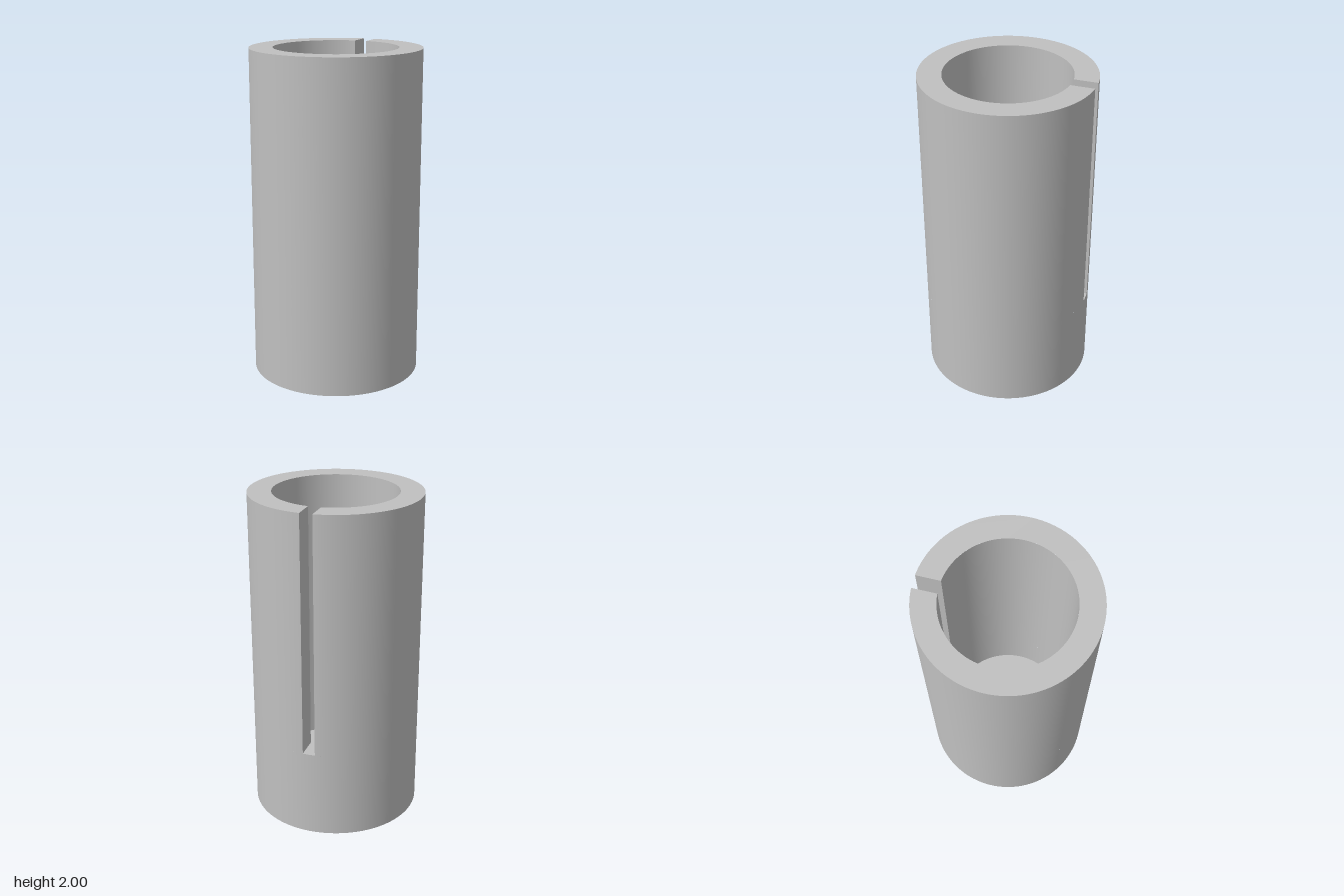
import * as THREE from 'three';

const OUTER = 0.513, BORE = 0.372, HOLE = 0.215; // radii
const TOP = 2, SLOT_Y = 0.535, WEB_TOP = 0.25, WEB_BOTTOM = 0.21;
const HALF = 0.0375; // half of the slot width
const SEGMENTS = 128;

export function createModel() {
  const model = new THREE.Group();
  model.name = 'slottedSleeve';
  const grey = new THREE.MeshStandardMaterial({ color: 0xc0c0c0 });
  grey.name = 'plain grey';

  const add = (name, geometry, parent = model) => {
    const mesh = new THREE.Mesh(geometry, grey);
    mesh.name = name;
    parent.add(mesh);
    return mesh;
  };
  // one revolved face between two profile points, with sharp ends
  const band = (name, a, b, gap = 0, parent = model) =>
    add(name, new THREE.LatheGeometry(
      [new THREE.Vector2(...a), new THREE.Vector2(...b)],
      SEGMENTS, Math.PI + gap, Math.PI * 2 - gap * 2), parent);

  // unbroken lower part: bore, thin web with its hole, bottom recess, outer wall
  const lower = new THREE.Group();
  lower.name = 'lowerBody';
  model.add(lower);
  const profile = [
    ['lowerBore', [BORE, SLOT_Y]],
    ['webTop', [BORE, WEB_TOP]],
    ['webHole', [HOLE, WEB_TOP]],
    ['webUnderside', [HOLE, WEB_BOTTOM]],
    ['bottomRecess', [BORE, WEB_BOTTOM]],
    ['bottomRim', [BORE, 0]],
    ['lowerOuterWall', [OUTER, 0]],
    ['end', [OUTER, SLOT_Y]],
  ];
  for (let i = 0; i < profile.length - 1; i++) {
    band(profile[i][0], profile[i][1], profile[i + 1][1], 0, lower);
  }

  // upper walls, interrupted by the slot at the back
  const outerGap = Math.asin(HALF / OUTER), boreGap = Math.asin(HALF / BORE);
  band('upperOuterWall', [OUTER, SLOT_Y], [OUTER, TOP], outerGap);
  band('upperBore', [BORE, TOP], [BORE, SLOT_Y], boreGap);

  // flat faces: split top rim and the slot floor
  const back = Math.PI / 2, turn = Math.PI * 2;
  const rim = new THREE.Shape();
  rim.absarc(0, 0, OUTER, back + outerGap, back - outerGap + turn, false);
  rim.absarc(0, 0, BORE, back - boreGap + turn, back + boreGap, true);
  const floor = new THREE.Shape();
  floor.absarc(0, 0, OUTER, back - outerGap, back + outerGap, false);
  floor.absarc(0, 0, BORE, back + boreGap, back - boreGap, true);
  const flat = (name, shape, y, steps) =>
    add(name, new THREE.ShapeGeometry(shape, steps).rotateX(-Math.PI / 2).translate(0, y, 0));
  flat('topRim', rim, TOP, SEGMENTS);
  flat('slotFloor', floor, SLOT_Y, 6);

  // slot cheeks, facing each other
  const zFar = Math.sqrt(OUTER ** 2 - HALF ** 2), zNear = Math.sqrt(BORE ** 2 - HALF ** 2);
  for (const side of [-1, 1]) {
    const cheek = add(side > 0 ? 'leftSlotCheek' : 'rightSlotCheek',
      new THREE.PlaneGeometry(zFar - zNear, TOP - SLOT_Y));
    cheek.rotation.y = -side * Math.PI / 2;
    cheek.position.set(side * HALF, (TOP + SLOT_Y) / 2, -(zFar + zNear) / 2);
  }
  return model;
}
